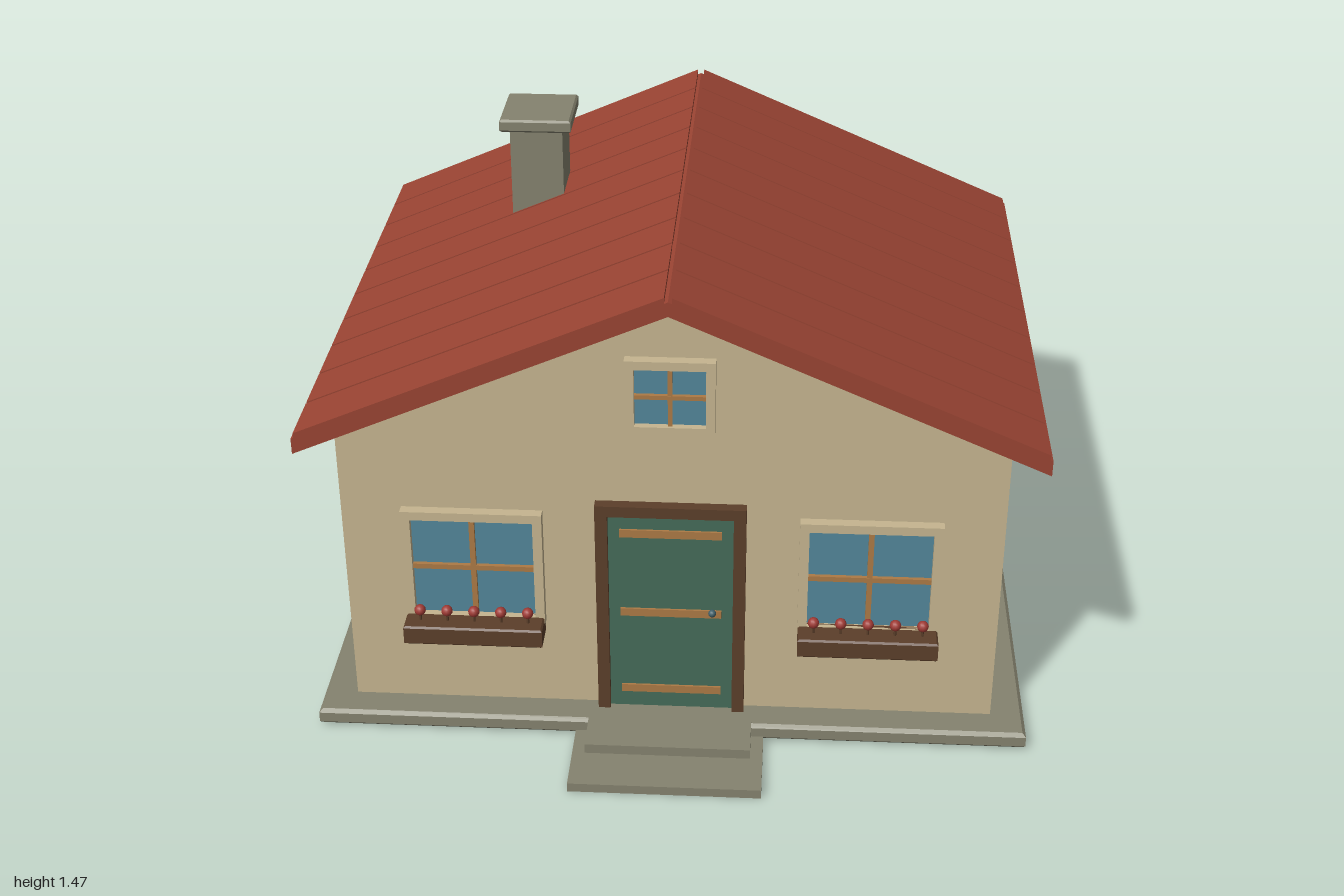
import * as THREE from 'three';

const mat = (name, color) => {
  const m = new THREE.MeshStandardMaterial({ color });
  m.name = name;
  return m;
};

export function createModel() {
  const house = new THREE.Group();
  house.name = 'cottage';

  const plaster = mat('plaster', 0xc6b590);
  const roofRed = mat('roofRed', 0x994433);
  const stone = mat('stone', 0x85836f);
  const darkWood = mat('darkWood', 0x5c3f2a);
  const lightWood = mat('lightWood', 0xad7a45);
  const doorGreen = mat('doorGreen', 0x456c59);
  const glass = mat('glass', 0x53879a);
  const flowerRed = mat('flowerRed', 0xa03a34);
  const metal = mat('metal', 0x40606a);

  const add = (parent, name, geometry, material, x = 0, y = 0, z = 0) => {
    const mesh = new THREE.Mesh(geometry, material);
    mesh.name = name;
    mesh.position.set(x, y, z);
    parent.add(mesh);
    return mesh;
  };

  // Box given by its limits on each axis
  const box = (parent, name, material, [x0, x1], [y0, y1], [z0, z1]) =>
    add(parent, name, new THREE.BoxGeometry(x1 - x0, y1 - y0, z1 - z0), material,
      (x0 + x1) / 2, (y0 + y1) / 2, (z0 + z1) / 2);

  // Outline in x and y, extruded from z0 to z1
  const prism = (parent, name, material, points, z0, z1) => {
    const shape = new THREE.Shape(points.map(([x, y]) => new THREE.Vector2(x, y)));
    const geometry = new THREE.ExtrudeGeometry(shape, { depth: z1 - z0, bevelEnabled: false });
    return add(parent, name, geometry, material, 0, 0, z0);
  };

  // Horizontal slab with chamfered edges, centred on x and z, standing on y
  const slab = (parent, name, material, w, h, d, b, x, y, z) => {
    const hw = w / 2 - b, hd = d / 2 - b;
    const shape = new THREE.Shape([[-hw, -hd], [hw, -hd], [hw, hd], [-hw, hd]]
      .map(([px, py]) => new THREE.Vector2(px, py)));
    const geometry = new THREE.ExtrudeGeometry(shape, {
      depth: h - 2 * b, bevelSize: b, bevelThickness: b, bevelSegments: 1,
    });
    geometry.translate(0, 0, b).rotateX(-Math.PI / 2);
    return add(parent, name, geometry, material, x, y, z);
  };

  // Rectangular frame with an opening, facing +z
  const frame = (parent, name, material, w, h, iw, ih, depth) => {
    const rect = (Type, a, b) => new Type([[-a, -b], [a, -b], [a, b], [-a, b]]
      .map(([px, py]) => new THREE.Vector2(px / 2, py / 2)));
    const shape = rect(THREE.Shape, w, h);
    shape.holes.push(rect(THREE.Path, iw, ih));
    return add(parent, name,
      new THREE.ExtrudeGeometry(shape, { depth, bevelEnabled: false }), material);
  };

  const frontZ = 0.616, backZ = -0.867, roofFront = 0.707, roofBack = -0.957;

  // Foundation and entrance steps
  slab(house, 'foundation', stone, 2, 0.05, 1.664, 0.01, 0, 0.005, -0.125);
  box(house, 'lowerStep', stone, [-0.265, 0.265], [0, 0.027], [0.72, 0.955]);
  box(house, 'upperStep', stone, [-0.23, 0.23], [0.027, 0.056], [0.65, 0.82]);

  // Gabled walls
  prism(house, 'walls', plaster,
    [[-0.905, 0.05], [0.905, 0.05], [0.905, 0.93], [0, 1.338], [-0.905, 0.93]], backZ, frontZ);

  // Roof: one deck and ten planks on each side
  const roof = new THREE.Group();
  roof.name = 'roof';
  house.add(roof);
  const count = 10, step = (roofFront - roofBack) / count, gap = 0.004;
  for (const s of [-1, 1]) {
    prism(roof, 'roofDeck', roofRed,
      [[0, 1.335], [s, 0.9], [s, 0.946], [0, 1.376]], roofBack, roofFront);
    for (let i = 0; i < count; i++) {
      const z = roofBack + i * step;
      prism(roof, 'roofPlank', roofRed,
        [[s * 0.01, 1.37], [s * 0.993, 0.946], [s * 0.993, 0.963], [s * 0.01, 1.388]],
        z + (i ? gap : 0), z + step - (i < count - 1 ? gap : 0));
    }
  }

  // Chimney
  box(house, 'chimneyStack', stone, [-0.531, -0.376], [1.0, 1.435], [-0.477, -0.3]);
  slab(house, 'chimneyCap', stone, 0.21, 0.038, 0.228, 0.006, -0.453, 1.43, -0.389);

  // Cross-barred window with its back on the wall, facing +z
  const makeWindow = (w, h, border, bar) => {
    const win = new THREE.Group();
    win.name = 'window';
    const iw = w - 2 * border, ih = h - 2 * border;
    frame(win, 'windowFrame', plaster, w, h, iw, ih, 0.03);
    add(win, 'windowGlass', new THREE.BoxGeometry(iw, ih, 0.008), glass, 0, 0, 0.006);
    add(win, 'uprightBar', new THREE.BoxGeometry(bar, ih, 0.014), lightWood, 0, 0, 0.014);
    add(win, 'crossBar', new THREE.BoxGeometry(iw, bar, 0.014), lightWood, 0, 0, 0.0145);
    house.add(win);
    return win;
  };

  makeWindow(0.24, 0.22, 0.025, 0.012).position.set(0, 1.062, frontZ);
  for (const s of [-1, 1]) {
    makeWindow(0.388, 0.36, 0.026, 0.015).position.set(s * 0.545, 0.51, frontZ);
    const side = makeWindow(0.388, 0.36, 0.026, 0.015);
    side.position.set(s * 0.905, 0.534, -0.126);
    side.rotation.y = s * Math.PI / 2;
  }

  // Flower boxes under the front windows
  const stemGeometry = new THREE.CylinderGeometry(0.004, 0.004, 0.04, 6);
  const flowerGeometry = new THREE.SphereGeometry(0.016, 12, 8);
  for (const s of [-1, 1]) {
    const planter = new THREE.Group();
    planter.name = 'flowerBox';
    planter.position.set(s * 0.545, 0, 0);
    house.add(planter);
    slab(planter, 'planterBox', darkWood, 0.386, 0.058, 0.088, 0.005, 0, 0.298, 0.668);
    for (let i = -2; i <= 2; i++) {
      add(planter, 'stem', stemGeometry, darkWood, i * 0.075, 0.368, 0.672);
      add(planter, 'flower', flowerGeometry, flowerRed, i * 0.075, 0.388, 0.672);
    }
  }

  // Door with surround, straps and handle
  const door = new THREE.Group();
  door.name = 'door';
  house.add(door);
  for (const s of [-1, 1]) {
    box(door, 'doorPost', darkWood,
      s > 0 ? [0.172, 0.206] : [-0.206, -0.172], [0.05, 0.7], [0.6, 0.648]);
  }
  box(door, 'doorLintel', darkWood, [-0.206, 0.206], [0.695, 0.728], [0.6, 0.648]);
  box(door, 'doorPanel', doorGreen, [-0.172, 0.172], [0.05, 0.695], [0.6, 0.63]);
  for (const y of [0.118, 0.378, 0.636]) {
    box(door, 'doorStrap', lightWood, [-0.14, 0.14], [y - 0.012, y + 0.012], [0.628, 0.636]);
  }
  add(door, 'doorHandle', new THREE.SphereGeometry(0.011, 12, 8), metal, 0.115, 0.387, 0.642);

  return house;
}
